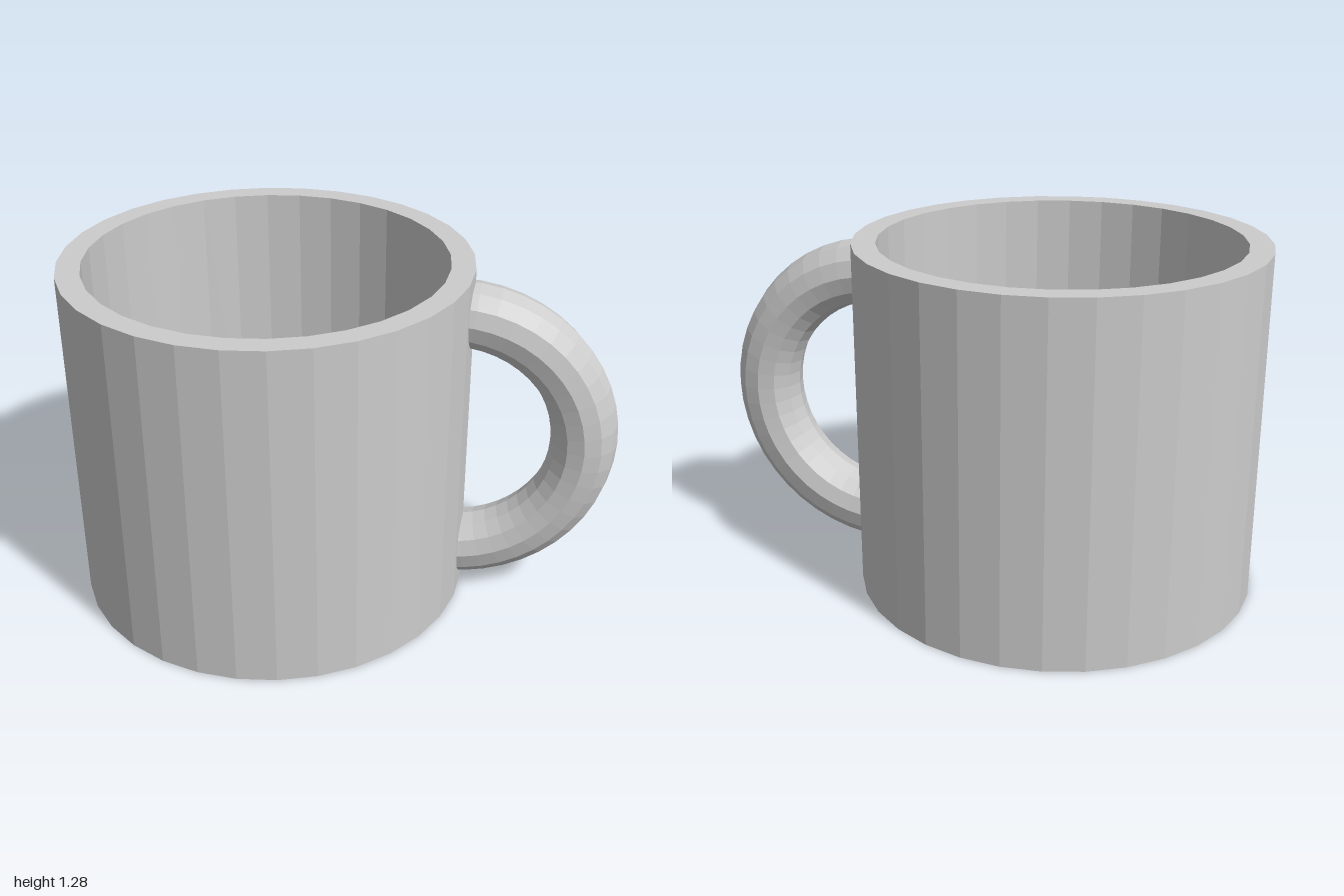
import * as THREE from 'three';

const HEIGHT = 1.28, OUTER = 0.73, INNER = 0.645, FLOOR = 0.085;

export function createModel() {
  const group = new THREE.Group();
  group.name = 'mug';
  const ceramic = new THREE.MeshStandardMaterial({ color: 0xcccccc });
  ceramic.name = 'light grey ceramic';
  ceramic.flatShading = true;

  // Hollow cup: underside, outer wall, flat rim, inner wall, inner floor
  const profile = [
    [0, 0], [OUTER, 0], [OUTER, HEIGHT], [INNER, HEIGHT], [INNER, FLOOR], [0, FLOOR],
  ].map(([r, y]) => new THREE.Vector2(r, y));
  const cup = new THREE.Mesh(new THREE.LatheGeometry(profile, 32), ceramic);
  cup.name = 'cup';
  cup.position.x = -0.27;
  group.add(cup);

  // Half-ring handle, its ends buried in the wall
  const ring = new THREE.TorusGeometry(0.478, 0.12, 12, 24, Math.PI);
  ring.rotateZ(-Math.PI / 2);
  const handle = new THREE.Mesh(ring, ceramic);
  handle.name = 'handle';
  handle.position.set(0.402, HEIGHT / 2, 0);
  group.add(handle);

  return group;
}
